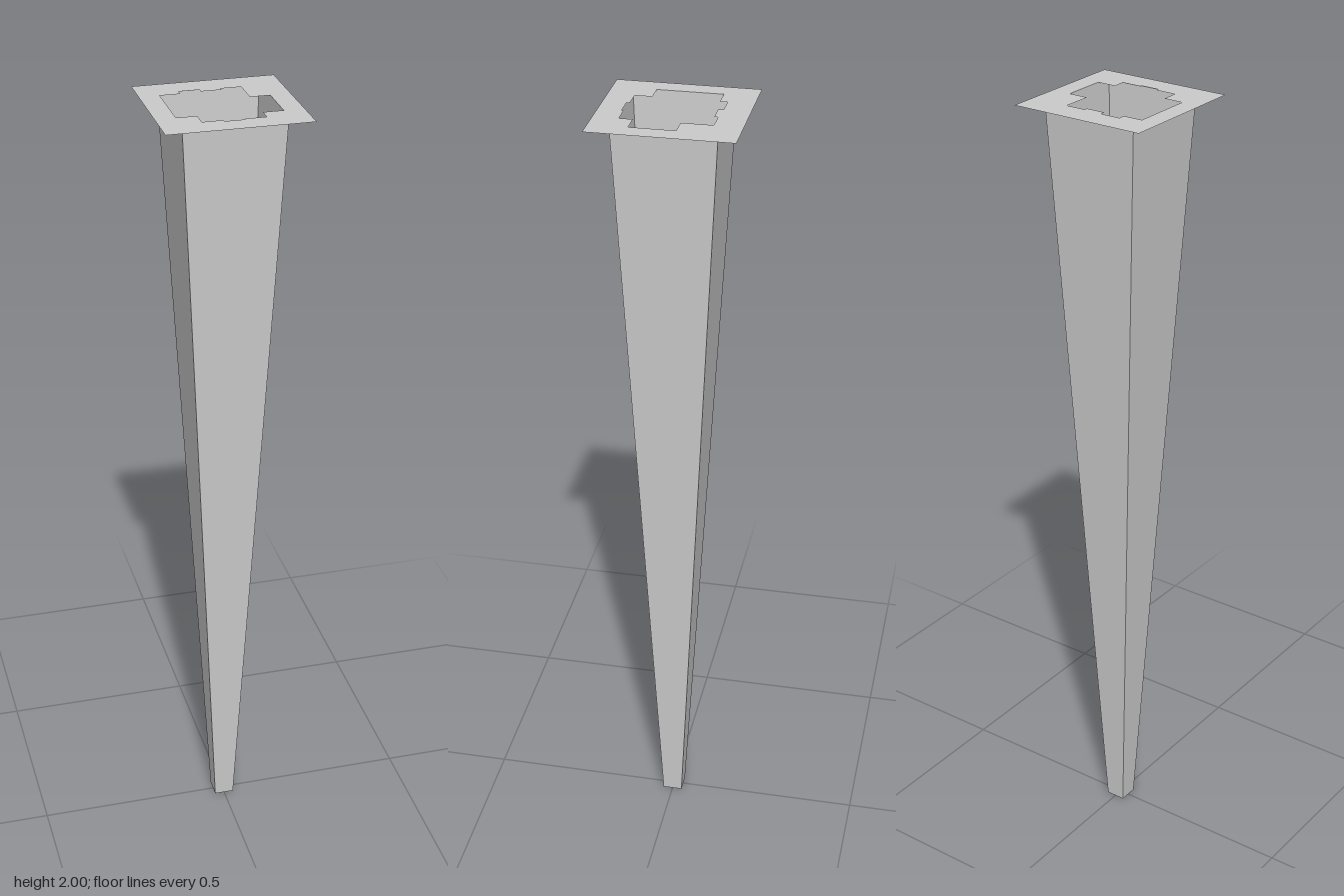
import * as THREE from 'three';

const HEIGHT = 2, TOP = 0.126, BOTTOM = 0.0255, PLATE = 0.176;

export function createModel() {
  const group = new THREE.Group();
  const material = new THREE.MeshStandardMaterial({
    color: 0xcccccc, flatShading: true, side: THREE.DoubleSide,
  });
  const add = (name, geometry, y) => {
    const mesh = new THREE.Mesh(geometry, material);
    mesh.name = name;
    mesh.position.y = y;
    group.add(mesh);
  };

  // Hollow square shaft, tapering to the foot
  const shaft = new THREE.CylinderGeometry(
    TOP * Math.SQRT2, BOTTOM * Math.SQRT2, HEIGHT, 4, 1, true);
  add('taperedShaft', shaft.rotateY(Math.PI / 4), HEIGHT / 2);

  // Thin floor closing the foot
  const floor = new THREE.PlaneGeometry(BOTTOM * 2, BOTTOM * 2);
  add('shaftFloor', floor.rotateX(Math.PI / 2), 0);

  // Thin top plate with a stepped, irregular opening (x, z)
  const plate = new THREE.Shape([
    [-PLATE, -PLATE], [PLATE, -PLATE], [PLATE, PLATE], [-PLATE, PLATE],
  ].map(([x, z]) => new THREE.Vector2(x, -z)));
  plate.holes.push(new THREE.Path([
    [-0.126, -0.093], [-0.076, -0.093], [-0.076, -0.111], [-0.025, -0.111],
    [-0.025, -0.098], [0.025, -0.098], [0.025, -0.107], [0.076, -0.107],
    [0.076, -0.03], [0.126, -0.03], [0.126, 0.081], [0.076, 0.081],
    [0.076, 0.114], [0.025, 0.114], [0.025, 0.119], [-0.025, 0.119],
    [-0.025, 0.111], [-0.076, 0.111], [-0.076, 0.068], [-0.126, 0.068],
  ].map(([x, z]) => new THREE.Vector2(x, -z))));
  add('topPlate', new THREE.ShapeGeometry(plate).rotateX(-Math.PI / 2), HEIGHT);

  return group;
}
